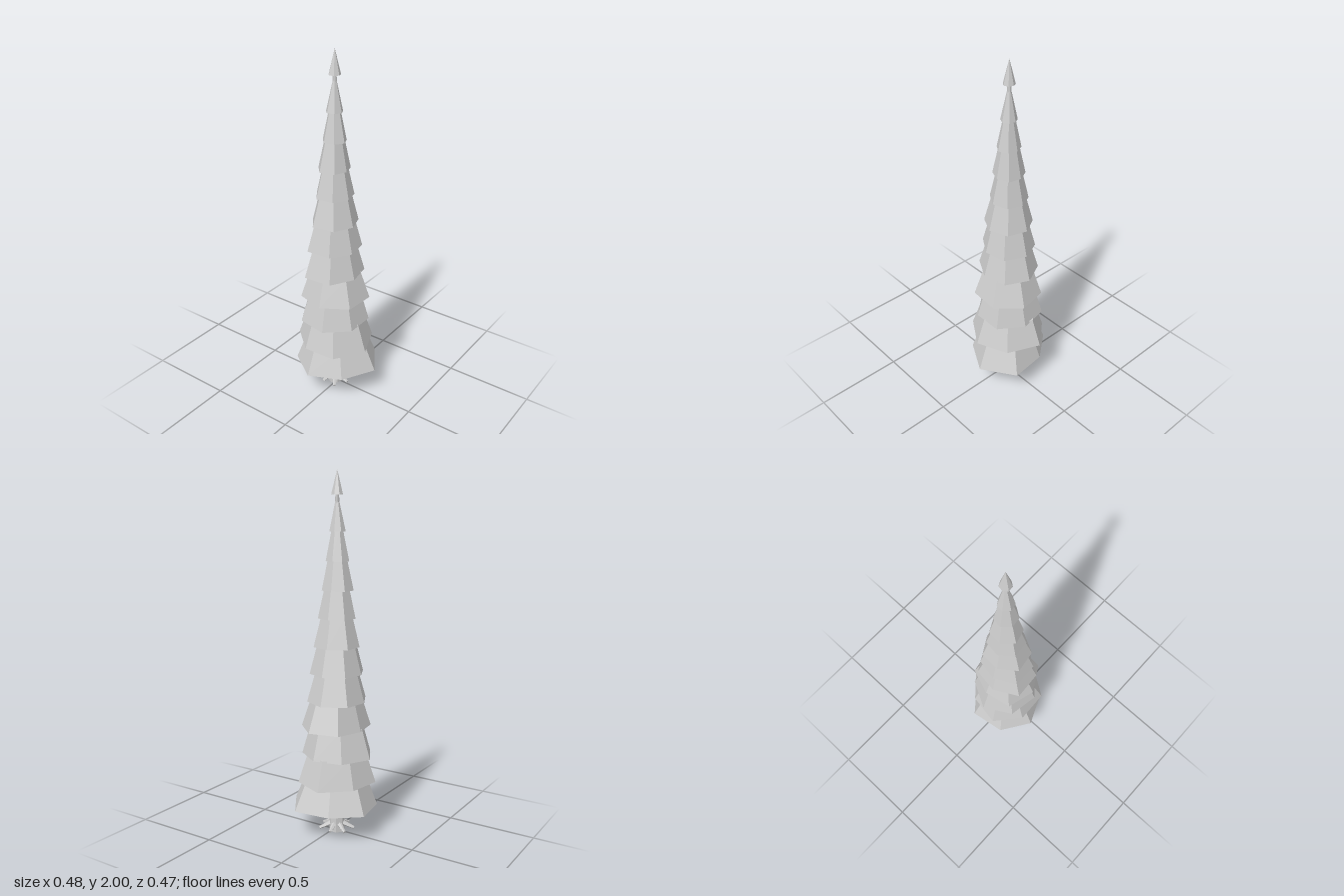
import * as THREE from 'three';

const SIDES = 7;
const STEP = (Math.PI * 2) / SIDES;
const AXIS_X = -0.02;

// [base height, top height, top/base ratio, turn in degrees, corner radii]
const TIERS = [
  [0.155, 0.315, 0.74, -7, [0.262, 0.257, 0.21, 0.235, 0.227, 0.236, 0.22]],
  [0.305, 0.465, 0.76, 5.8, [0.23, 0.22, 0.238, 0.205, 0.22, 0.208, 0.224]],
  [0.455, 0.62, 0.76, 24.4, [0.19, 0.195, 0.185, 0.195, 0.21, 0.2, 0.195]],
  [0.61, 0.77, 0.73, 30, [0.2, 0.2, 0.2, 0.19, 0.162, 0.195, 0.19]],
  [0.76, 0.925, 0.72, 12, [0.158, 0.165, 0.167, 0.165, 0.157, 0.19, 0.18]],
  [0.915, 1.075, 0.72, 14, [0.143, 0.15, 0.145, 0.145, 0.14, 0.168, 0.158]],
  [1.065, 1.23, 0.68, 6, [0.13, 0.13, 0.127, 0.132, 0.125, 0.145, 0.14]],
  [1.22, 1.38, 0.66, 9, [0.102, 0.105, 0.1, 0.105, 0.103, 0.115, 0.108]],
  [1.37, 1.535, 0.6, 4, [0.08, 0.085, 0.078, 0.088, 0.09, 0.1, 0.09]],
  [1.525, 1.69, 0.48, 7, [0.068, 0.062, 0.056, 0.064, 0.066, 0.068, 0.066]],
  [1.68, 1.845, 0.2, 3, [0.045, 0.043, 0.04, 0.044, 0.046, 0.05, 0.046]],
  [1.87, 2.0, 0, 10, [0.033, 0.032, 0.031, 0.032, 0.032, 0.034, 0.033]],
];

// Closed seven-sided skirt with uneven corners
function tierGeometry([y0, y1, ratio, turn, radii]) {
  const geo = new THREE.CylinderGeometry(ratio, 1, y1 - y0, SIDES);
  geo.translate(0, (y0 + y1) / 2, 0);
  const p = geo.attributes.position;
  for (let i = 0; i < p.count; i++) {
    const x = p.getX(i), z = p.getZ(i);
    const j = (Math.round(Math.atan2(x, z) / STEP) + SIDES) % SIDES;
    const a = THREE.MathUtils.degToRad(turn) - j * STEP;
    const r = Math.hypot(x, z) * radii[j];
    p.setXYZ(i, r * Math.cos(a), p.getY(i), r * Math.sin(a));
  }
  geo.computeVertexNormals();
  return geo;
}

// Tapered rod between two points
function rod(from, to, r0, r1, sides, material) {
  const dir = to.clone().sub(from);
  const mesh = new THREE.Mesh(new THREE.CylinderGeometry(r1, r0, dir.length(), sides), material);
  mesh.position.copy(from).addScaledVector(dir, 0.5);
  mesh.quaternion.setFromUnitVectors(new THREE.Vector3(0, 1, 0), dir.normalize());
  return mesh;
}

export function createModel() {
  const grey = new THREE.MeshStandardMaterial({ color: 0xcccccc, flatShading: true });
  grey.name = 'pale grey';

  const tree = new THREE.Group();
  tree.name = 'tree';
  tree.position.x = AXIS_X;

  // Trunk runs up through the foliage and shows again under the tip
  const v = (x, y, z) => new THREE.Vector3(x, y, z);
  const trunk = rod(v(0, 0, 0), v(0, 1.9, 0), 0.045, 0.01, 7, grey);
  trunk.name = 'trunk';
  tree.add(trunk);

  // Roots slope down and outward around the foot
  const roots = new THREE.Group();
  roots.name = 'roots';
  for (let i = 0; i < SIDES; i++) {
    const a = i * STEP + 0.1;
    const c = Math.cos(a), s = Math.sin(a);
    const end = 0.095 + 0.006 * Math.sin(i * 2.3);
    const root = rod(v(c * 0.025, 0.05, s * 0.025), v(c * end, 0.022, s * end), 0.015, 0.008, 5, grey);
    root.name = 'root';
    roots.add(root);
  }
  tree.add(roots);

  // Foliage tiers from bottom to tip
  const foliage = new THREE.Group();
  foliage.name = 'foliage';
  for (const tier of TIERS) {
    const mesh = new THREE.Mesh(tierGeometry(tier), grey);
    mesh.name = 'foliageTier';
    foliage.add(mesh);
  }
  tree.add(foliage);

  const model = new THREE.Group();
  model.name = 'coniferTree';
  model.add(tree);
  return model;
}
